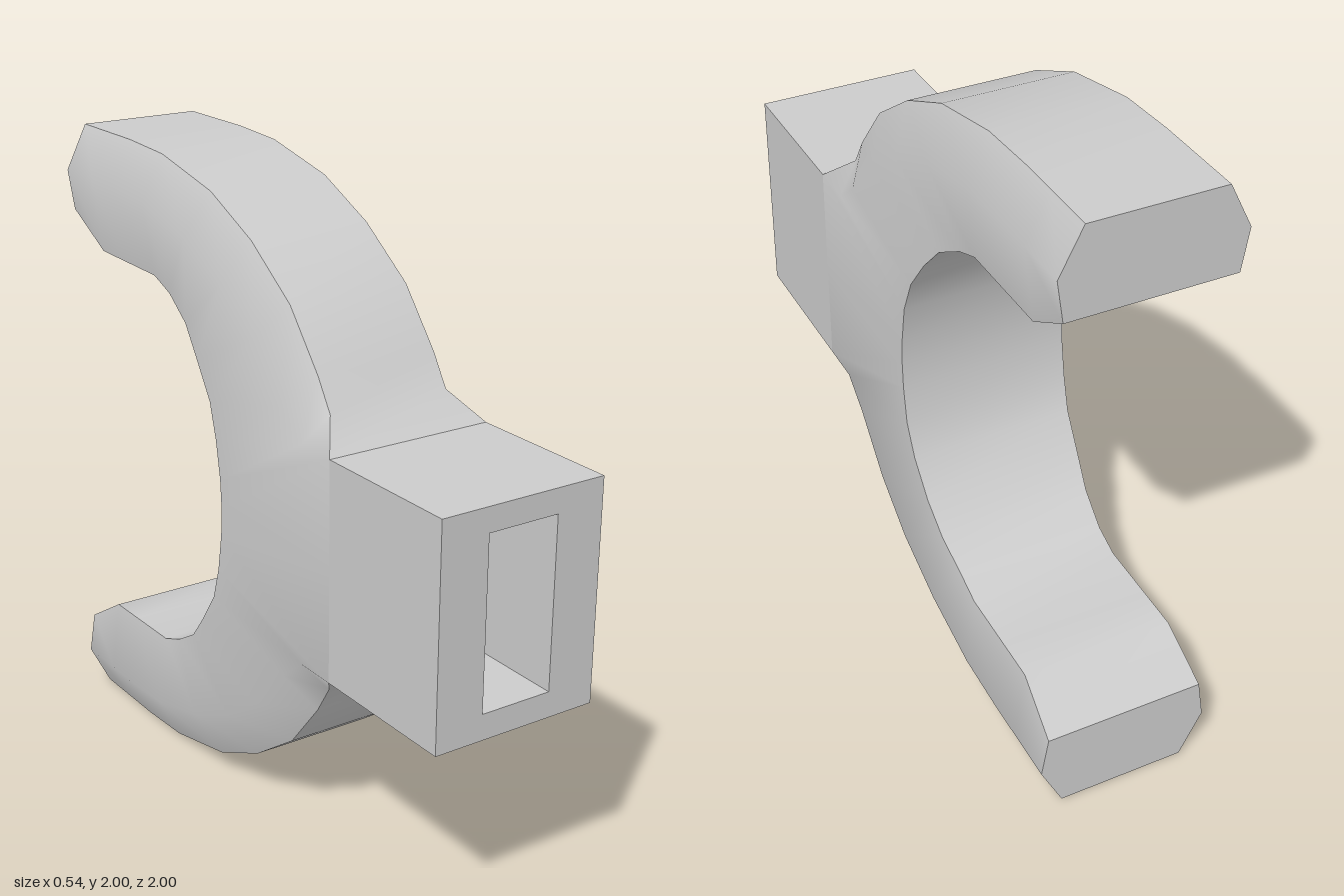
import * as THREE from 'three';
import { toCreasedNormals } from 'three/addons/utils/BufferGeometryUtils.js';

const material = new THREE.MeshStandardMaterial({ color: 0xcccccc });

// Upper half of the claw, from the middle to the tip. Each row gives
// outer z, y, half width | widest line z, y | inner z, y, half width
const upper = [
  [0.5, 1.34, 0.27, 0.5, 1.34, -0.08, 1.09, 0.27],
  [0.4, 1.425, 0.2, 0.36, 1.34, -0.1, 1.21, 0.27],
  [0.34, 1.52, 0.2, 0.26, 1.42, -0.14, 1.32, 0.265],
  [0.2, 1.69, 0.2, 0.11, 1.58, -0.22, 1.43, 0.26],
  [0, 1.83, 0.2, -0.06, 1.7, -0.3, 1.52, 0.25],
  [-0.22, 1.93, 0.2, -0.27, 1.79, -0.41, 1.585, 0.24],
  [-0.5, 1.99, 0.2, -0.51, 1.85, -0.5, 1.62, 0.24],
  [-0.7, 2, 0.2, -0.7, 1.86, -0.7, 1.623, 0.24],
  [-0.83, 2, 0.2, -0.83, 1.86, -0.83, 1.625, 0.24],
  [-1, 2, 0.2, -1, 1.86, -1, 1.73, 0.25],
];
const middle = [0.5, 1, 0.27, 0.5, 1, -0.075, 1, 0.27];

function clawGeometry() {
  const lower = upper.map(([a, b, c, d, e, f, g, h]) => [a, 2 - b, c, d, 2 - e, f, 2 - g, h]);
  const stations = [...upper].reverse().concat([middle], lower);
  const positions = [];
  const index = [];
  // Six-sided section at every station
  for (const [oz, oy, ow, mz, my, iz, iy, iw] of stations) {
    positions.push(ow, oy, oz, 0.27, my, mz, iw, iy, iz);
    positions.push(-iw, iy, iz, -0.27, my, mz, -ow, oy, oz);
  }
  for (let i = 0; i < stations.length - 1; i++) {
    for (let j = 0; j < 6; j++) {
      const a = i * 6 + j, b = i * 6 + (j + 1) % 6;
      index.push(a, a + 6, b, b, a + 6, b + 6);
    }
  }
  // Flat tips
  const last = (stations.length - 1) * 6;
  for (let j = 1; j < 5; j++) {
    index.push(0, j, j + 1, last, last + j + 1, last + j);
  }
  const geometry = new THREE.BufferGeometry();
  geometry.setAttribute('position', new THREE.Float32BufferAttribute(positions, 3));
  geometry.setIndex(index);
  return toCreasedNormals(geometry, 0.75);
}

function rectangle(PathType, w, bottom, top) {
  return new PathType([
    new THREE.Vector2(-w, bottom), new THREE.Vector2(w, bottom),
    new THREE.Vector2(w, top), new THREE.Vector2(-w, top),
  ]);
}

export function createModel() {
  const group = new THREE.Group();
  group.name = 'clawClip';
  const add = (name, geometry, y = 0, z = 0) => {
    const mesh = new THREE.Mesh(geometry, material);
    mesh.name = name;
    mesh.position.set(0, y, z);
    group.add(mesh);
  };

  add('claw', clawGeometry());

  // Stem: solid root and a socketed front
  add('stemRoot', new THREE.BoxGeometry(0.54, 0.68, 0.22), 1, 0.61);
  const face = rectangle(THREE.Shape, 0.27, 0.66, 1.34);
  face.holes.push(rectangle(THREE.Path, 0.115, 0.74, 1.265));
  add('stemSocket', new THREE.ExtrudeGeometry(face, { depth: 0.28, bevelEnabled: false }), 0, 0.72);
  return group;
}
